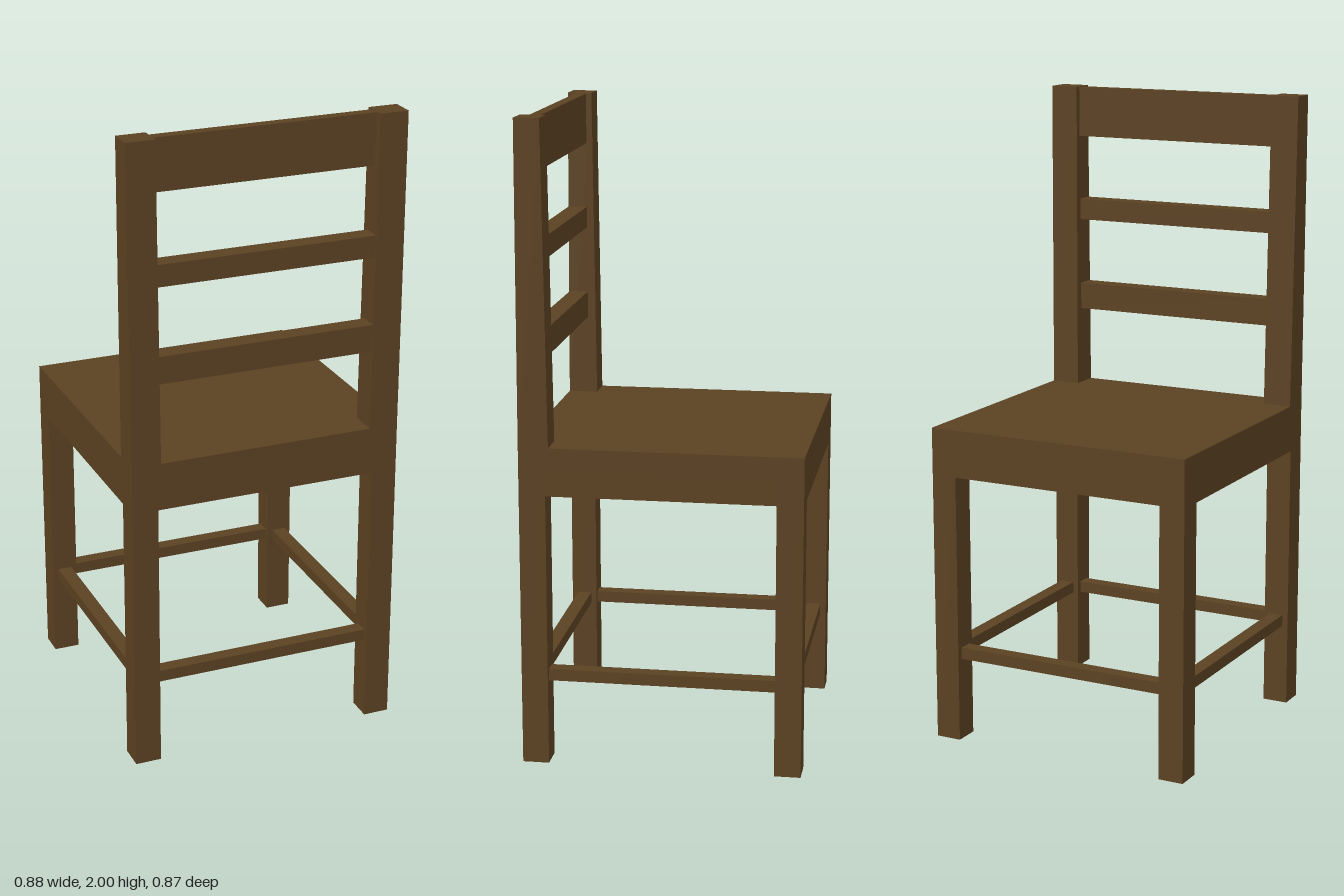
import * as THREE from 'three';

export function createModel() {
  const chair = new THREE.Group();
  chair.name = 'chair';
  const wood = new THREE.MeshStandardMaterial({ color: 0x5b4122 });
  wood.name = 'dark wood';

  // Box given by its lower and upper corners
  function box(name, [x0, y0, z0], [x1, y1, z1]) {
    const geometry = new THREE.BoxGeometry(x1 - x0, y1 - y0, z1 - z0);
    const mesh = new THREE.Mesh(geometry, wood);
    mesh.position.set((x0 + x1) / 2, (y0 + y1) / 2, (z0 + z1) / 2);
    mesh.name = name;
    chair.add(mesh);
    return mesh;
  }

  // Four-sided post between two rectangles [x0, x1, z0, z1]
  function taperedPost(name, y0, y1, bottom, top) {
    let geometry = new THREE.BoxGeometry(1, 1, 1);
    const p = geometry.attributes.position;
    for (let i = 0; i < p.count; i++) {
      const up = p.getY(i) > 0;
      const r = up ? top : bottom;
      p.setXYZ(i, p.getX(i) > 0 ? r[1] : r[0], up ? y1 : y0, p.getZ(i) > 0 ? r[3] : r[2]);
    }
    geometry = geometry.toNonIndexed();
    geometry.computeVertexNormals();
    const mesh = new THREE.Mesh(geometry, wood);
    mesh.name = name;
    chair.add(mesh);
  }

  const outer = 0.434, inner = 0.352, seatTop = 1.01, apronBottom = 0.86;

  // Seat panel, with the aprons hanging below its edge
  box('seat', [-outer, 0.93, -outer], [outer, seatTop, outer]);
  const apron = 0.04;

  for (const s of [-1, 1]) {
    const span = (a, b) => (s > 0 ? [a, b] : [-b, -a]);
    const [l0, l1] = span(inner, outer);
    const [a0, a1] = span(outer - apron, outer);
    const [r0, r1] = span(0.37, 0.415);

    // Legs
    box('frontLeg', [l0, 0, -outer], [l1, 0.94, -inner]);
    box('backLeg', [l0, 0, inner], [l1, 0.94, outer]);

    // Aprons
    box('sideApron', [a0, apronBottom, -inner], [a1, 0.93, inner]);
    box('crossApron', [-inner, apronBottom, a0], [inner, 0.93, a1]);

    // Stretchers
    box('sideStretcher', [r0, 0.265, -inner], [r1, 0.302, inner]);
    box('crossStretcher', [-inner, 0.265, r0], [inner, 0.302, r1]);

    // Back posts, tapering slightly towards the top
    taperedPost('backPost', seatTop, 2,
      [...span(0.342, outer), 0.341, outer],
      [...span(0.348, 0.439), 0.352, 0.43]);
  }

  // Ladder back
  box('topRail', [-0.36, 1.838, 0.37], [0.36, 1.998, 0.405]);
  box('middleRail', [-0.36, 1.562, 0.37], [0.36, 1.63, 0.43]);
  box('lowerRail', [-0.36, 1.262, 0.37], [0.36, 1.348, 0.43]);

  return chair;
}
